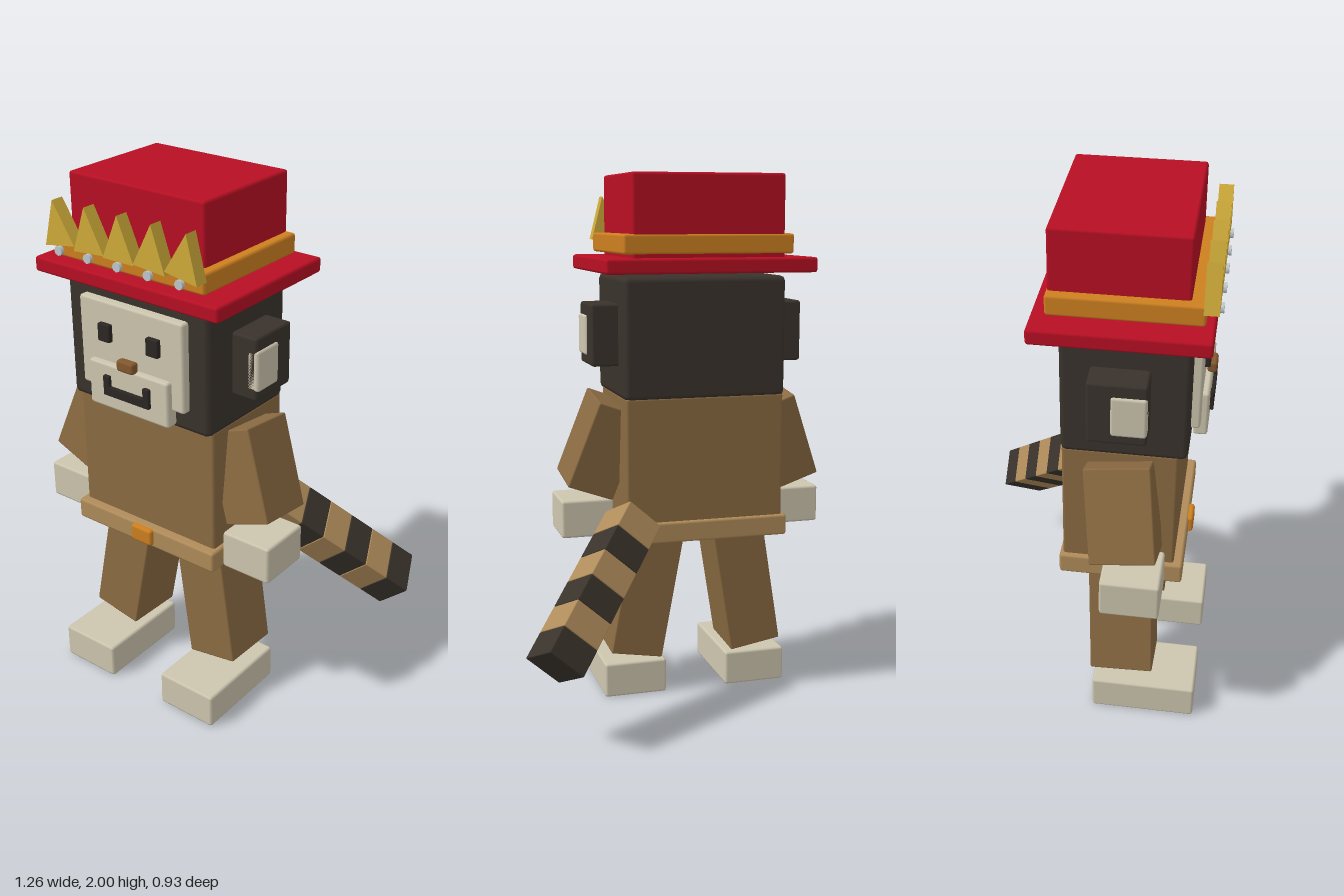
import * as THREE from 'three';
import { RoundedBoxGeometry } from 'three/addons/geometries/RoundedBoxGeometry.js';

const CX = -0.11; // symmetry plane of the figure (the tail sticks out to one side)

function makeMaterials() {
  const colors = {
    red: 0xb80f23, cream: 0xcdc6af, darkFur: 0x3a332c, brown: 0x8b6b42, tan: 0xb08c5a,
    gold: 0xd0ac3a, orange: 0xce8020, noseBrown: 0x84582f, silver: 0xc0c8cc, black: 0x2c2723,
  };
  const mats = {};
  for (const [name, color] of Object.entries(colors)) {
    mats[name] = new THREE.MeshStandardMaterial({ color });
    mats[name].name = name;
  }
  return mats;
}

export function createModel() {
  const model = new THREE.Group();
  model.name = 'blockMonkey';
  const m = makeMaterials();

  // Bevelled block; x is measured from the symmetry plane
  function block(name, mat, [w, h, d], [x, y, z], bevel = 0.01) {
    const mesh = new THREE.Mesh(new RoundedBoxGeometry(w, h, d, 1, bevel), mat);
    mesh.name = name;
    mesh.position.set(CX + x, y, z);
    model.add(mesh);
    return mesh;
  }

  // Body and belt
  block('body', m.brown, [0.61, 0.55, 0.4], [0, 0.915, 0.15]);
  block('belt', m.tan, [0.645, 0.08, 0.445], [0, 0.68, 0.16]);
  block('buckle', m.orange, [0.095, 0.065, 0.04], [0, 0.685, 0.38]);

  // Head and face
  block('head', m.darkFur, [0.62, 0.45, 0.435], [0, 1.405, 0.163], 0.02);
  block('facePlate', m.cream, [0.457, 0.33, 0.05], [0, 1.425, 0.387]);
  block('muzzle', m.cream, [0.355, 0.17, 0.05], [0, 1.285, 0.41]);
  block('nose', m.noseBrown, [0.075, 0.042, 0.035], [0, 1.386, 0.433]);
  block('mouth', m.black, [0.205, 0.035, 0.03], [0, 1.273, 0.433], 0.004);

  // Mirrored parts
  for (const s of [1, -1]) {
    const side = s > 0 ? 'left' : 'right';
    block(side + 'Eye', m.black, [0.052, 0.065, 0.03], [s * 0.107, 1.48, 0.415], 0.004);
    block(side + 'MouthCorner', m.black, [0.028, 0.05, 0.03], [s * 0.089, 1.305, 0.433], 0.004);
    block(side + 'Ear', m.darkFur, [0.13, 0.23, 0.2], [s * 0.345, 1.415, 0.15]);
    block(side + 'InnerEar', m.cream, [0.05, 0.15, 0.12], [s * 0.393, 1.41, 0.19]);

    const arm = block(side + 'Arm', m.brown, [0.185, 0.345, 0.23], [s * 0.357, 0.99, 0.172], 0.006);
    arm.rotation.set(-0.12, 0, s * 0.35);
    block(side + 'Hand', m.cream, [0.2, 0.145, 0.21], [s * 0.42, 0.712, 0.215]);

    const leg = block(side + 'Leg', m.brown, [0.205, 0.52, 0.235], [s * 0.2, 0.425, 0.163], 0.006);
    leg.rotation.set(-0.04, 0, s * 0.17);
    block(side + 'Foot', m.cream, [0.245, 0.135, 0.39], [s * 0.245, 0.0675, 0.26]);
  }

  // Hat
  block('hatBrim', m.red, [0.795, 0.055, 0.59], [0, 1.672, 0.15]);
  block('hatCrown', m.red, [0.577, 0.33, 0.455], [0, 1.835, 0.138]);
  block('hatBand', m.orange, [0.645, 0.073, 0.51], [0, 1.748, 0.16]);

  // Row of spikes, fanned outward, each with a small stud at its foot
  const tri = new THREE.Shape([[-0.067, 0], [0.067, 0], [0, 0.155]].map(([x, y]) => new THREE.Vector2(x, y)));
  const spikeGeo = new THREE.ExtrudeGeometry(tri, { depth: 0.05, bevelEnabled: false });
  const studGeo = new THREE.CylinderGeometry(0.017, 0.017, 0.014, 8).rotateX(Math.PI / 2);
  for (let i = -2; i <= 2; i++) {
    const spike = new THREE.Mesh(spikeGeo, m.gold);
    spike.name = 'spike';
    spike.position.set(CX + i * 0.13, 1.768, 0.405);
    spike.rotation.z = -i * 0.08;
    const stud = new THREE.Mesh(studGeo, m.silver);
    stud.name = 'stud';
    stud.position.set(CX + i * 0.13, 1.752, 0.459);
    model.add(spike, stud);
  }

  // Striped tail, running down, back and to the left
  const tail = new THREE.Group();
  tail.name = 'tail';
  const up = new THREE.Vector3(-0.56, 0.63, 0.535).normalize();
  const across = new THREE.Vector3(up.y, -up.x, 0).normalize();
  const depth = new THREE.Vector3().crossVectors(across, up);
  tail.quaternion.setFromRotationMatrix(new THREE.Matrix4().makeBasis(across, up, depth));
  tail.position.set(0.17, 0.74, -0.04);
  const segGeo = new RoundedBoxGeometry(0.155, 0.11, 0.17, 1, 0.004);
  for (let i = 0; i < 6; i++) {
    const seg = new THREE.Mesh(segGeo, i % 2 ? m.darkFur : m.tan);
    seg.name = 'tailStripe';
    seg.position.y = -0.11 * (i + 0.5);
    tail.add(seg);
  }
  model.add(tail);

  return model;
}
